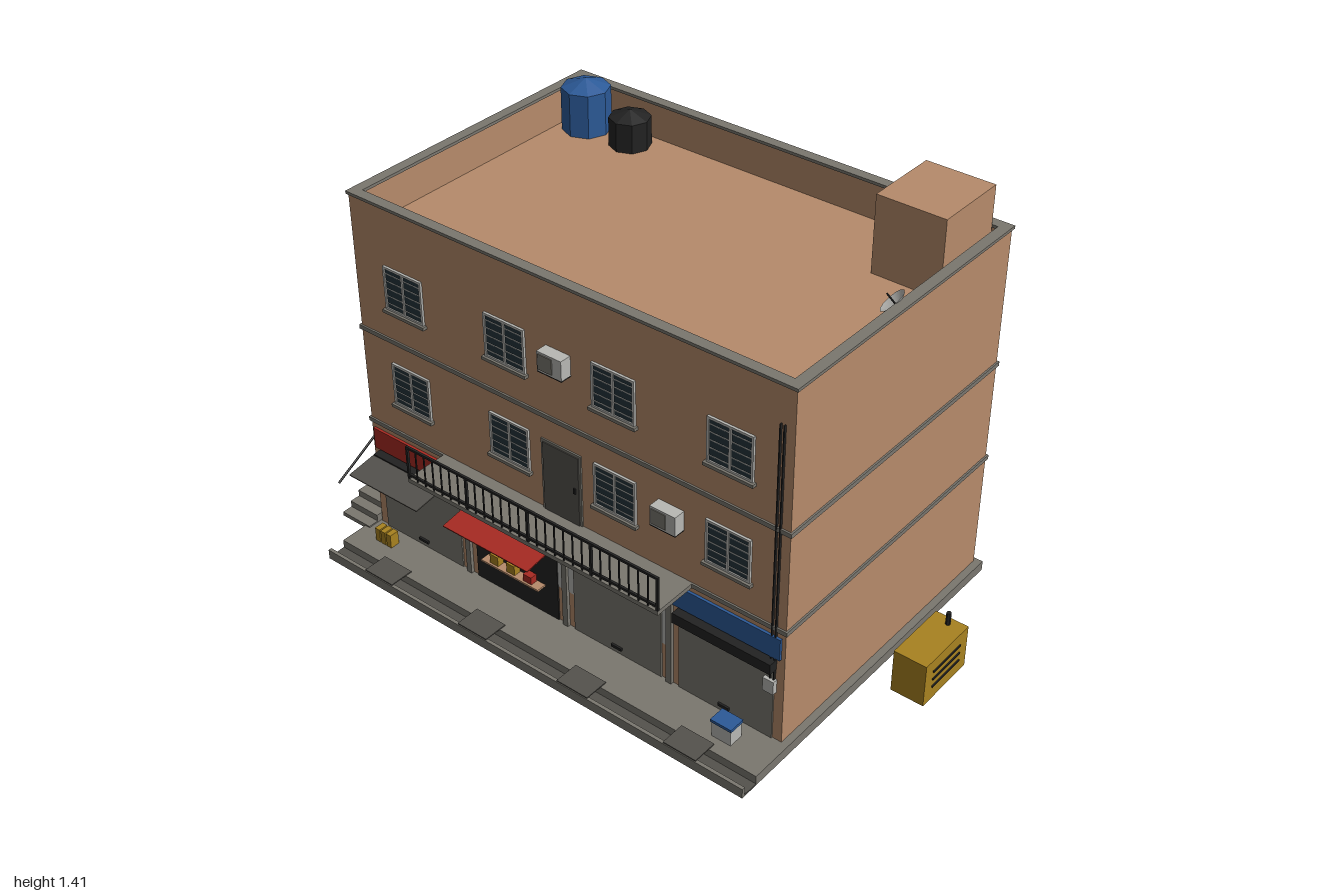
import * as THREE from 'three';

const mat = (name, color) => Object.assign(new THREE.MeshStandardMaterial({ color }), { name });
const M = {
  wall: mat('tan plaster', 0xb68b6b), concrete: mat('grey concrete', 0x7a776f),
  dark: mat('dark grey', 0x54524d), light: mat('light grey', 0xb8b8b4),
  black: mat('black', 0x222222), red: mat('red', 0xa82a22), yellow: mat('yellow', 0xa88220),
  blue: mat('blue', 0x2c5a98), glass: mat('window glass', 0x25343c),
};

export function createModel() {
  const root = new THREE.Group();
  root.name = 'shopBuilding';

  const add = (name, geo, m, parent = root) => {
    const mesh = new THREE.Mesh(geo, m);
    mesh.name = name;
    parent.add(mesh);
    return mesh;
  };
  // Box given by its extents on each axis
  const box = (name, m, x0, x1, y0, y1, z0, z1, parent = root) => {
    const b = add(name, new THREE.BoxGeometry(x1 - x0, y1 - y0, z1 - z0), m, parent);
    b.position.set((x0 + x1) / 2, (y0 + y1) / 2, (z0 + z1) / 2);
    return b;
  };
  // Thin round bar between two points
  const bar = (name, m, a, b, r, parent = root) => {
    const p = new THREE.Vector3(...a), q = new THREE.Vector3(...b), d = q.clone().sub(p);
    const c = add(name, new THREE.CylinderGeometry(r, r, d.length(), 6), m, parent);
    c.position.copy(p).add(q).multiplyScalar(0.5);
    c.quaternion.setFromUnitVectors(new THREE.Vector3(0, 1, 0), d.normalize());
    return c;
  };
  const X0 = -0.865, X1 = 0.775, Z0 = -0.63, Z1 = 0.425, ROOF = 1.15, TOP = 1.27;

  // Pavement, drain and kerb
  box('pavement', M.concrete, -0.89, 0.8, 0, 0.035, -0.645, 0.58);
  box('drainFloor', M.dark, -0.89, 0.8, 0, 0.006, 0.58, 0.633);
  box('kerb', M.concrete, -0.89, 0.8, 0, 0.035, 0.633, 0.645);

  // Main block, parapet and trim
  box('mainBlock', M.wall, X0, X1, 0.035, ROOF, Z0, Z1);
  const ring = (name, m, y0, y1, out, inn) => {
    const s = new THREE.Shape(), h = new THREE.Path();
    const loop = (p, d) => p.moveTo(X0 - d, Z0 - d).lineTo(X1 + d, Z0 - d)
      .lineTo(X1 + d, Z1 + d).lineTo(X0 - d, Z1 + d).closePath();
    loop(s, out);
    loop(h, -inn);
    s.holes.push(h);
    const geo = new THREE.ExtrudeGeometry(s, { depth: y1 - y0, bevelEnabled: false });
    geo.rotateX(Math.PI / 2);
    add(name, geo, m).position.y = y1;
  };
  ring('parapet', M.wall, ROOF, TOP, 0, 0.025);
  ring('coping', M.concrete, TOP, 1.28, 0.006, 0.03);
  for (const y of [0.445, 0.795]) ring('floorBand', M.concrete, y, y + 0.015, 0.006, 0.01);

  // Roof: stair head, water tanks and dish
  box('roofStairHead', M.wall, 0.49, 0.725, ROOF, 1.41, -0.6, -0.34);
  const tank = (name, m, x, r, y1, y2) => add(name, new THREE.LatheGeometry(
    [[0, ROOF], [r, ROOF], [r, y1], [0, y2]].map(p => new THREE.Vector2(...p)), 8), m).position.set(x, 0, -0.52);
  M.blue.flatShading = M.black.flatShading = true;
  tank('blueWaterTank', M.blue, -0.75, 0.082, 1.3, 1.33);
  tank('blackWaterTank', M.black, -0.565, 0.07, 1.25, 1.275);
  bar('dishPole', M.black, [0.74, ROOF, -0.1], [0.74, 1.25, -0.1], 0.006);
  const dishMat = M.light;
  dishMat.side = THREE.DoubleSide;
  const dish = add('dish', new THREE.LatheGeometry(
    [[0, 0], [0.025, 0.005], [0.045, 0.02]].map(p => new THREE.Vector2(...p)), 12), dishMat);
  dish.position.set(0.73, 1.25, -0.1);
  dish.rotation.set(0.35, 0, 0.7);
  bar('dishFeed', M.black, [0.73, 1.25, -0.1], [0.705, 1.287, -0.085], 0.003);

  // Windows; local origin is the middle of the pane on the wall surface
  const makeWindow = (x, y, back = false, grille = false) => {
    const g = new THREE.Group();
    g.name = grille ? 'grilledWindow' : 'window';
    const w = 0.078, h = 0.075, f = grille ? M.black : M.light;
    box('pane', M.glass, -w, w, -h, h, 0, 0.004, g);
    for (const s of [-1, 1]) {
      box('frameSide', f, s * (w - 0.003) - 0.004, s * (w - 0.003) + 0.004, -h, h, 0, 0.008, g);
      box('frameRail', f, -w, w, s * (h - 0.003) - 0.004, s * (h - 0.003) + 0.004, 0, 0.008, g);
    }
    if (grille) {
      for (let i = -3; i <= 3; i++) box('grilleBar', f, i * 0.02 - 0.002, i * 0.02 + 0.002, -h, h, 0.006, 0.01, g);
      for (const s of [-1, 1]) box('grilleRail', f, -w, w, s * 0.04 - 0.002, s * 0.04 + 0.002, 0.006, 0.01, g);
    } else {
      box('mullion', f, -0.004, 0.004, -h, h, 0, 0.008, g);
      for (let i = -2; i <= 2; i++) box('glazingBar', f, -w, w, i * 0.026 - 0.0012, i * 0.026 + 0.0012, 0, 0.006, g);
    }
    box('sill', M.concrete, -w - 0.008, w + 0.008, -h - 0.011, -h, 0, 0.016, g);
    g.position.set(x, y, back ? Z0 : Z1);
    if (back) g.rotation.y = Math.PI;
    root.add(g);
  };
  const bays = [-0.66, -0.25, 0.16, 0.57];
  for (const x of bays) for (const y of [0.645, 0.995]) makeWindow(x, y);
  makeWindow(0.57, 0.645, true);
  makeWindow(0.36, 0.2, true, true);
  makeWindow(-0.455, 0.2, true, true);

  // Balcony door, slab and railing
  box('balconyDoorFrame', M.concrete, -0.122, 0.032, 0.46, 0.717, Z1, Z1 + 0.005);
  box('balconyDoor', M.dark, -0.114, 0.024, 0.46, 0.708, Z1, Z1 + 0.008);
  box('doorHandle', M.black, 0.006, 0.014, 0.575, 0.595, Z1, Z1 + 0.012);
  box('balconySlab', M.concrete, -0.54, 0.445, 0.445, 0.46, Z1, 0.585);
  for (const y of [0.475, 0.577]) box('balconyRail', M.black, -0.54, 0.445, y - 0.004, y + 0.004, 0.577, 0.585);
  for (let i = 0; i <= 28; i++) {
    const x = -0.537 + i * 0.979 / 28, r = i % 7 ? 0.002 : 0.004;
    box('baluster', M.black, x - r, x + r, 0.46, 0.577, 0.581 - r, 0.581 + r);
  }

  // Air conditioners
  for (const [x, y] of [[-0.045, 1.02], [0.365, 0.67]]) {
    box('airConditioner', M.light, x - 0.046, x + 0.046, y - 0.033, y + 0.033, Z1, 0.465);
    box('airConditionerGrille', M.concrete, x - 0.04, x + 0.012, y - 0.026, y + 0.026, 0.465, 0.468);
    box('airConditionerBracket', M.black, x - 0.046, x + 0.046, y - 0.037, y - 0.033, Z1, 0.465);
  }

  // Shopfronts
  for (const x of bays.slice(0, 3)) box('shopPillar', M.concrete, x + 0.195, x + 0.215, 0.035, 0.445, Z1, Z1 + 0.012);
  [M.red, M.yellow, M.light, M.blue].forEach((m, i) => {
    const x = bays[i], open = i === 1;
    if (i === 1 || i === 2) box('shopfrontPanel', M.light, x - 0.195, x + 0.195, 0.17, 0.445, Z1, Z1 + 0.002);
    box('shopSign', m, x - 0.192, x + 0.192, 0.348, 0.425, Z1, Z1 + 0.009);
    box(open ? 'shopOpening' : 'shutter', open ? M.black : M.concrete, x - 0.172, x + 0.172, 0.035, 0.305, Z1, Z1 + 0.005);
    box('shutterHousing', M.black, x - 0.177, x + 0.177, 0.303, 0.34, Z1, 0.457);
    if (!open) box('shutterHandle', M.black, x - 0.02, x + 0.02, 0.054, 0.064, Z1, Z1 + 0.012);
    box('drainCover', M.dark, x - 0.06, x + 0.06, 0.035, 0.039, 0.555, 0.642);
  });
  const awning = (m, x0, x1) => {
    const a = box('awning', m, x0, x1, 0.325, 0.329, 0.43, 0.565);
    a.rotation.x = 0.15;
  };
  awning(M.dark, -0.84, -0.54);
  awning(M.red, -0.425, -0.075);

  // Goods, cooler and jerrycans
  box('goodsShelf', M.wall, -0.37, -0.13, 0.143, 0.15, Z1, 0.465);
  for (const [x, h, m] of [[-0.32, 0.035, M.yellow], [-0.25, 0.035, M.yellow], [-0.18, 0.027, M.red]])
    box('goods', m, x - 0.017, x + 0.017, 0.15, 0.15 + h, 0.433, 0.458);
  box('hangingGoods', M.red, -0.41, -0.368, 0.23, 0.3, 0.431, 0.44);
  box('cooler', M.light, 0.6, 0.67, 0.035, 0.09, 0.478, 0.53);
  box('coolerLid', M.blue, 0.597, 0.673, 0.09, 0.1, 0.475, 0.533);
  for (const x of [-0.797, -0.772, -0.747]) box('jerrycan', M.yellow, x - 0.01, x + 0.01, 0.035, 0.085, 0.475, 0.51);

  // Cables and meters
  for (const x of [0.73, 0.743]) box('cable', M.black, x - 0.002, x + 0.002, 0.265, 1.15, Z1, Z1 + 0.008);
  box('frontMeter', M.light, 0.712, 0.75, 0.217, 0.265, Z1, 0.442);
  box('sideMeterBlue', M.blue, X0 - 0.012, X0, 0.165, 0.235, -0.585, -0.535);
  box('sideMeterGrey', M.light, X0 - 0.012, X0, 0.175, 0.235, -0.525, -0.48);

  // Side door and outside stairs
  box('sideDoor', M.dark, X0 - 0.008, X0, 0.46, 0.7, -0.445, -0.34);
  const flight = (zTop, yTop) => {
    const n = 9, run = 0.34 / n, rise = 0.21 / n, s = new THREE.Shape();
    s.moveTo(0, -0.03);
    s.lineTo(0, 0);
    for (let i = 0; i < n; i++) {
      s.lineTo(i * run, -(i + 1) * rise);
      s.lineTo((i + 1) * run, -(i + 1) * rise);
    }
    s.lineTo(0.34, -0.225);
    s.lineTo(0.3, -0.225);
    s.closePath();
    const geo = new THREE.ExtrudeGeometry(s, { depth: 0.125, bevelEnabled: false });
    geo.rotateY(-Math.PI / 2);
    add('stairFlight', geo, M.concrete).position.set(-0.87, yTop, zTop);
    bar('handrail', M.black, [-0.993, yTop + 0.11, zTop - 0.01], [-0.993, yTop - 0.085, zTop + 0.345], 0.004);
  };
  flight(-0.32, 0.46);
  flight(0.14, 0.25);
  box('topLanding', M.concrete, -1, X0, 0.435, 0.46, -0.47, -0.32);
  box('midLanding', M.concrete, -1, X0, 0.225, 0.25, 0.02, 0.14);
  box('topLandingPost', M.concrete, -0.998, -0.976, 0, 0.435, -0.45, -0.428);
  box('midLandingPost', M.concrete, -0.998, -0.976, 0, 0.43, 0.07, 0.092);

  // Generator
  box('generator', M.yellow, 0.88, 0.995, 0, 0.155, -0.222, 0.01);
  for (const y of [0.05, 0.08, 0.11]) box('generatorLouvre', M.black, 0.995, 0.999, y - 0.003, y + 0.003, -0.18, -0.03);
  bar('generatorExhaust', M.black, [0.94, 0.155, -0.193], [0.94, 0.2, -0.193], 0.008);

  return root;
}
